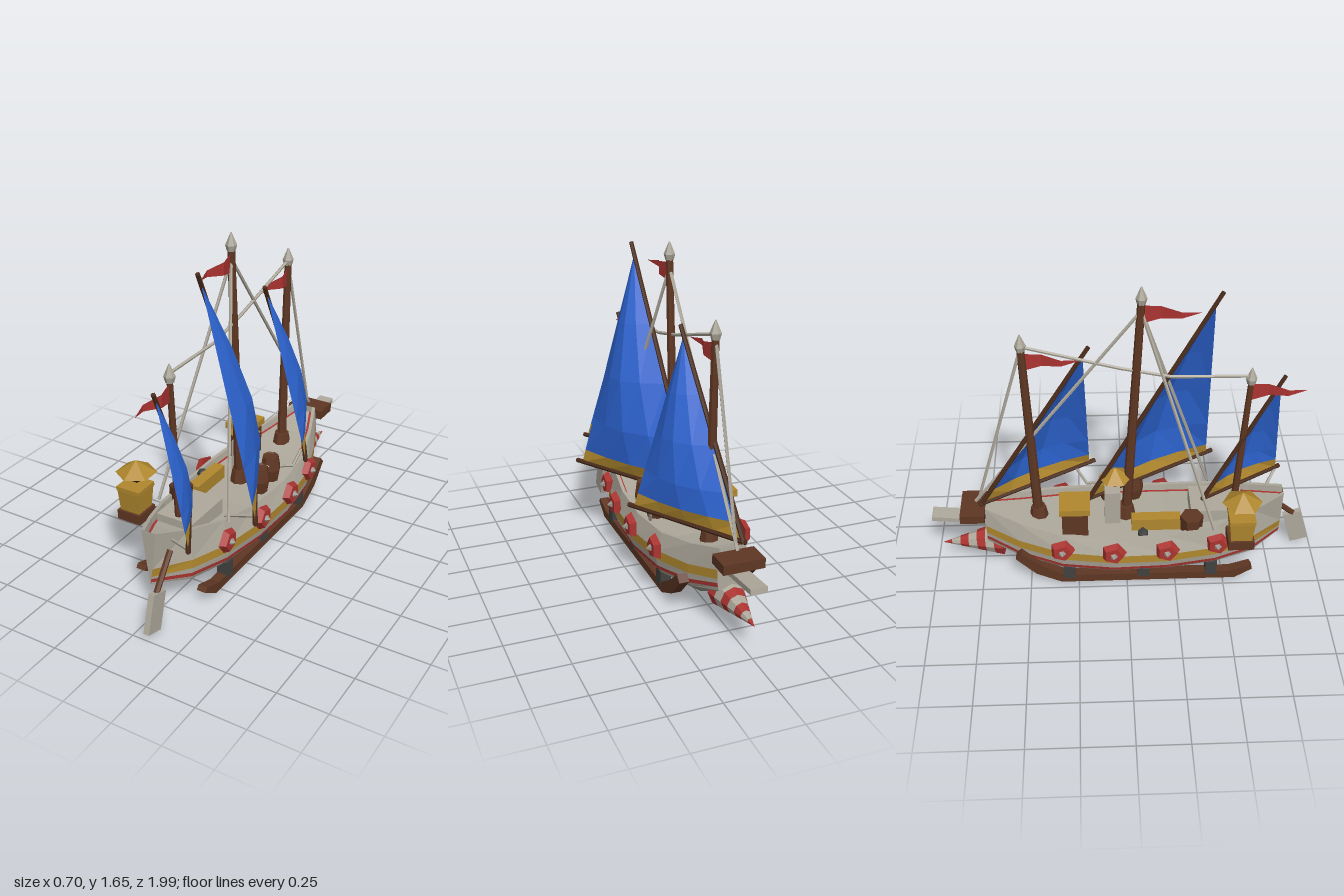
import * as THREE from 'three';

const mat = (name, color) => {
  const m = new THREE.MeshStandardMaterial({ color, flatShading: true, side: THREE.DoubleSide });
  m.name = name;
  return m;
};
const V = (x, y, z) => new THREE.Vector3(x, y, z);

export function createModel() {
  const ship = new THREE.Group();
  ship.name = 'sailingShip';
  const light = mat('paleWood', 0xafa99c), grey = mat('grey', 0x98938a), dark = mat('darkGrey', 0x41423f);
  const wood = mat('wood', 0x5f3723), darkWood = mat('darkWood', 0x4b2c1b);
  const gold = mat('gold', 0xb0882e), red = mat('red', 0xac3431), blue = mat('sailBlue', 0x2c63cf);
  const CX = -0.025; // the ship's centreline

  const add = (name, geo, m, x = 0, y = 0, z = 0) => {
    const mesh = new THREE.Mesh(geo, m);
    mesh.name = name;
    mesh.position.set(x, y, z);
    ship.add(mesh);
    return mesh;
  };
  const box = (name, m, w, h, d, x, y, z) => add(name, new THREE.BoxGeometry(w, h, d), m, x, y, z);
  const cyl = (name, m, rt, rb, h, n, x, y, z) => add(name, new THREE.CylinderGeometry(rt, rb, h, n), m, x, y, z);
  // tapered rod between two points
  const rod = (name, m, a, b, ra, rb = ra, n = 6) => {
    const d = b.clone().sub(a);
    const mesh = add(name, new THREE.CylinderGeometry(rb, ra, d.length(), n), m);
    mesh.position.copy(a).addScaledVector(d, 0.5);
    mesh.quaternion.setFromUnitVectors(V(0, 1, 0), d.normalize());
    return mesh;
  };
  const rope = (...pts) => {
    for (let i = 1; i < pts.length; i++) rod('rope', light, pts[i - 1], pts[i], 0.0085, 0.0085, 5);
  };
  // surface from a grid of points given as rows
  const sheet = (name, m, rows) => {
    const pos = [], idx = [], n = rows[0].length;
    rows.forEach(r => r.forEach(p => pos.push(p.x, p.y, p.z)));
    for (let i = 0; i < rows.length - 1; i++) for (let j = 0; j < n - 1; j++) {
      const a = i * n + j, b = a + n;
      idx.push(a, a + 1, b, b, a + 1, b + 1);
    }
    const g = new THREE.BufferGeometry();
    g.setAttribute('position', new THREE.Float32BufferAttribute(pos, 3));
    g.setIndex(idx);
    g.computeVertexNormals();
    return add(name, g, m);
  };

  // hull stations: z, half width, sheer, gold band, red band, keel, taper towards the keel
  const stations = [
    [0.81, 0.045, 0.45, 0.225, 0.18, 0.16, 1], [0.65, 0.13, 0.405, 0.222, 0.16, 0.11, 0],
    [0.45, 0.205, 0.365, 0.218, 0.153, 0.07, 0], [0.2, 0.245, 0.335, 0.216, 0.15, 0.05, 0],
    [-0.07, 0.255, 0.328, 0.22, 0.15, 0.05, 0], [-0.33, 0.225, 0.34, 0.228, 0.158, 0.06, 0],
    [-0.55, 0.15, 0.375, 0.25, 0.185, 0.1, 0], [-0.72, 0.075, 0.42, 0.29, 0.235, 0.19, 0],
  ];
  const halfWidth = z => {
    const i = Math.max(1, stations.findIndex(s => s[0] <= z));
    const a = stations[i - 1], b = stations[i];
    return a[1] + (b[1] - a[1]) * (a[0] - z) / (a[0] - b[0]);
  };
  // cross-section from deck centre over the rim to the keel
  const section = ([, w, s, g, r, k, taper]) => [
    [0, s - 0.035], [Math.max(0.002, w * 0.87 - 0.035), s - 0.035], [Math.max(0.004, w * 0.87 - 0.022), s - 0.035],
    [Math.max(0.006, w * 0.87 - 0.018), s], [w * 0.87, s], [w, g + 0.023], [w, g - 0.023],
    [w * 0.97, r + 0.01], [w * 0.95, r - 0.01], [w * 0.88, Math.max(k + 0.005, r - 0.03)],
    [w * 0.55, k + 0.015], [0, k],
  ].map(([x, y]) => [taper ? x * Math.max(0.05, (y - k) / (s - k)) : x, y]);
  const bands = [['deck', light], ['deckStripe', red], ['bulwarkInside', light], ['rail', light], ['topside', light],
    ['goldBand', gold], ['lowerSide', light], ['redBand', red], ['lowerSide', light], ['bottom', grey], ['bottom', grey]];
  for (const side of [1, -1]) bands.forEach(([name, m], i) =>
    sheet(name, m, stations.map(s => section(s).slice(i, i + 2).map(([x, y]) => V(CX + side * x, y, s[0])))));
  for (const s of [stations[0], stations[7]])
    sheet('hullEnd', light, section(s).slice(4).map(([x, y]) => [V(CX - x, y, s[0]), V(CX + x, y, s[0])]));

  // runners with posts, and shields along both sides
  const runner = new THREE.Shape([[0.65, 0.08], [0.56, 0.022], [-0.34, 0.022], [-0.47, 0.085], [-0.57, 0.19],
    [-0.54, 0.222], [-0.44, 0.14], [-0.32, 0.068], [0.53, 0.068], [0.635, 0.102]].map(p => new THREE.Vector2(...p)));
  const runnerGeo = new THREE.ExtrudeGeometry(runner, { depth: 0.05, bevelEnabled: false });
  runnerGeo.rotateY(-Math.PI / 2).translate(0.025, 0, 0);
  for (const side of [1, -1]) {
    add('runner', runnerGeo, wood, CX + side * 0.175, 0, 0);
    for (const z of [0.435, 0.085, -0.3]) box('runnerPost', dark, 0.056, 0.085, 0.06, CX + side * 0.175, 0.093, z);
    for (const z of [0.46, 0.2, -0.07, -0.33]) {
      const x = CX + side * (halfWidth(z) + 0.012);
      const parts = [cyl('shield', red, 0.05, 0.067, 0.032, 5, x, 0.27, z),
        cyl('shieldBoss', grey, 0, 0.02, 0.024, 5, x + side * 0.028, 0.27, z)];
      parts.forEach(p => { p.rotation.z = -side * Math.PI / 2; });
    }
  }

  // masts with caps, collars and pennants: base z, top z, top y, radius, pennant y
  const masts = [[0.0, 0.07, 1.58, 0.026, 1.51], [-0.45, -0.49, 1.34, 0.026, 1.262], [0.555, 0.6, 1.13, 0.02, 1.065]];
  for (const [zb, zt, yt, r, yf] of masts) {
    rod('mast', wood, V(CX, 0.28, zb), V(CX, yt, zt), r, r * 0.72, 8);
    cyl('mastCollar', wood, r + 0.012, r + 0.025, 0.07, 8, CX, 0.34, zb);
    cyl('mastCapCollar', light, 0.028, 0.02, 0.03, 6, CX, yt, zt);
    cyl('mastCap', light, 0.003, 0.028, 0.06, 6, CX, yt + 0.045, zt);
    const rows = [0, 0.33, 0.66, 1].map((t, i) => [1, -1].map(e =>
      V(CX + [0, 0.018, -0.015, 0.008][i], yf + e * 0.048 * (1 - t), zt + 0.28 * t)));
    sheet('pennant', red, rows);
  }

  // sails: yard foot, yard peak, boom end
  const sails = [
    [V(-0.05, 0.44, -0.19), V(0.035, 1.585, 0.45), V(0.345, 0.425, 0.48)],
    [V(-0.07, 0.44, -0.735), V(0.015, 1.315, -0.175), V(0.275, 0.43, -0.155)],
    [V(-0.07, 0.44, 0.395), V(0.005, 1.135, 0.77), V(0.2, 0.425, 0.825)],
  ];
  for (const [foot, peak, end] of sails) {
    rod('yard', darkWood, foot.clone().lerp(peak, -0.01), peak, 0.013, 0.011);
    rod('boom', darkWood, foot.clone().lerp(end, -0.02), end, 0.012);
    const tack = foot.clone().lerp(peak, 0.01), head = foot.clone().lerp(peak, 0.95);
    const clew = foot.clone().lerp(end, 0.95);
    const size = foot.distanceTo(peak), band = 0.065 / (head.y - foot.y);
    const row = v => [0, 0.25, 0.5, 0.75, 1].map(u => {
      const p = tack.clone().lerp(head, v).lerp(clew.clone().lerp(head, v), u);
      const belly = size * 0.07 * Math.sin(Math.PI * u) * Math.sin(Math.PI * v ** 0.75);
      return p.add(V(belly, 0, -belly * 0.35));
    });
    sheet('sailBorder', gold, [0, band].map(row));
    sheet('sail', blue, [band, 0.22, 0.45, 0.7, 1].map(row));
  }

  // rigging
  rope(V(CX, 1.16, 0.6), V(CX, 1.165, 0.22), V(CX, 1.22, -0.03), V(CX, 1.35, -0.49));
  rope(V(CX, 1.53, 0.07), V(CX, 0.42, -0.77));
  rope(V(CX, 1.34, -0.49), V(CX, 0.44, -0.75));
  for (const side of [1, -1]) rope(V(CX, 1.53, 0.07), V(CX + side * 0.2, 0.36, 0.44));
  rope(V(0.3, 0.42, 0.41), V(0.13, 0.36, 0.4));
  rope(V(0.2, 0.43, -0.25), V(0.18, 0.35, -0.2), V(0.1, 0.42, 0.0));
  rope(V(0.18, 0.42, 0.8), V(0.04, 0.38, 0.72));

  // striped ram
  const ramA = V(CX, 0.163, -0.645), ramB = V(CX, 0.14, -0.96);
  for (let i = 0; i < 7; i++) {
    const t = i / 7, u = (i + 1) / 7;
    rod('ramStripe', i % 2 ? light : red, ramA.clone().lerp(ramB, t), ramA.clone().lerp(ramB, u),
      0.09 * (1 - t), 0.09 * (1 - u) + 0.001, 8);
  }
  // sprit plank and its block
  box('sprit', light, 0.083, 0.026, 0.42, CX, 0.318, -0.79).rotation.x = 0.1;
  box('spritBlock', wood, 0.205, 0.048, 0.125, CX, 0.378, -0.785);

  // steering oar
  rod('oarShaft', wood, V(0.05, 0.34, 0.75), V(0.07, 0.2, 0.9), 0.015);
  box('oarBlade', light, 0.03, 0.195, 0.098, 0.072, 0.112, 0.92).rotation.x = -0.28;

  // parasol: gold canopy
  const parasol = (x, y, z, r) => cyl('parasol', gold, 0.005, r, 0.06, 6, x, y, z);

  // deck cargo
  box('hatch', light, 0.2, 0.08, 0.27, CX, 0.36, 0.465);
  box('crate', wood, 0.125, 0.17, 0.13, -0.145, 0.385, -0.262);
  box('crateLid', gold, 0.15, 0.035, 0.155, -0.145, 0.487, -0.262);
  box('goldChest', gold, 0.06, 0.07, 0.25, -0.13, 0.345, 0.15);
  cyl('tub', wood, 0.06, 0.055, 0.09, 6, -0.165, 0.36, 0.33);
  add('ball', new THREE.IcosahedronGeometry(0.03, 0), dark, -0.2, 0.33, 0.08);
  box('paleCabinet', light, 0.08, 0.2, 0.08, -0.05, 0.4, -0.07);
  rod('parasolPole', wood, V(-0.03, 0.48, -0.055), V(-0.03, 0.6, -0.055), 0.01);
  parasol(-0.03, 0.59, -0.055, 0.085);
  const barrelGeo = new THREE.LatheGeometry([[0, 0], [0.042, 0], [0.053, 0.065], [0.042, 0.135], [0.035, 0.13], [0, 0.13]]
    .map(p => new THREE.Vector2(...p)), 8);
  for (const [x, z] of [[0.11, -0.085], [0.12, 0.045]]) add('barrel', barrelGeo, wood, x, 0.31, z);

  // lantern basket hung on the side
  box('basketBase', wood, 0.13, 0.05, 0.13, -0.27, 0.345, 0.565);
  const basket = cyl('basket', gold, 0.088, 0.075, 0.115, 4, -0.27, 0.427, 0.565);
  basket.rotation.y = Math.PI / 4;
  box('basketRim', gold, 0.13, 0.02, 0.13, -0.27, 0.49, 0.565);
  const knob = add('basketKnob', new THREE.OctahedronGeometry(0.04), darkWood, -0.26, 0.54, 0.565);
  knob.scale.y = 0.8;
  parasol(-0.26, 0.6, 0.565, 0.1);

  return ship;
}
